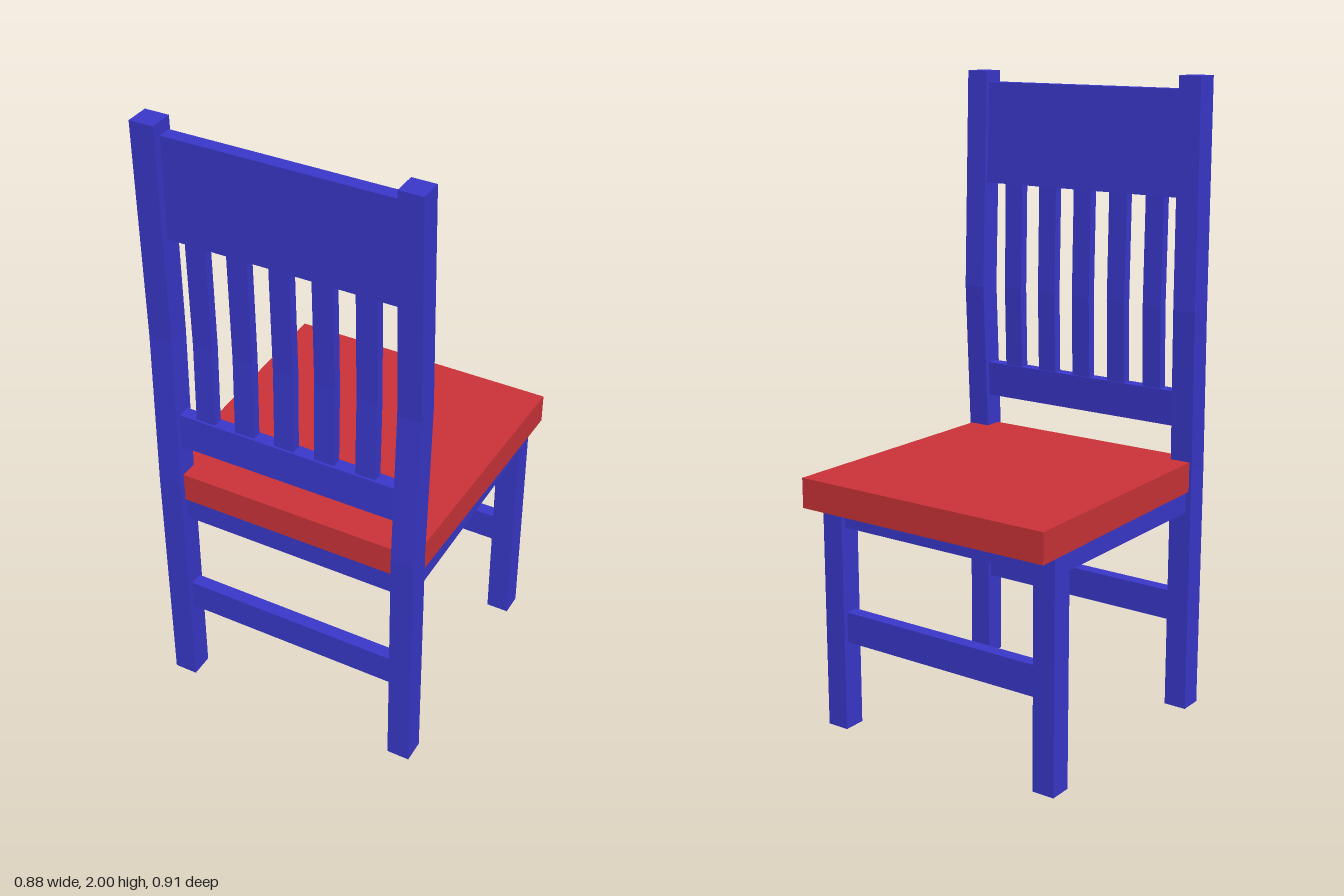
import * as THREE from 'three';

const blue = new THREE.MeshStandardMaterial({ color: 0x3a38cc, flatShading: true });
const red = new THREE.MeshStandardMaterial({ color: 0xcc3338, flatShading: true });

// Square bar through stacked rings [y, centre x, centre z], lowest first
function bar(name, width, depth, rings) {
  const n = rings.length - 1;
  const geometry = new THREE.BoxGeometry(width, 1, depth, 1, n, 1);
  const p = geometry.attributes.position;
  for (let i = 0; i < p.count; i++) {
    const [y, x, z] = rings[Math.round((p.getY(i) + 0.5) * n)];
    p.setXYZ(i, p.getX(i) + x, y, p.getZ(i) + z);
  }
  geometry.computeVertexNormals();
  const mesh = new THREE.Mesh(geometry, blue);
  mesh.name = name;
  return mesh;
}

export function createModel() {
  const chair = new THREE.Group();
  chair.name = 'chair';

  // Seat, tapering towards the backrest
  const seatGeometry = new THREE.BoxGeometry(2, 0.095, 0.88);
  seatGeometry.translate(0, 0.7775, -0.015);
  const p = seatGeometry.attributes.position;
  for (let i = 0; i < p.count; i++) {
    p.setX(i, p.getX(i) * (p.getZ(i) < 0 ? 0.44 : 0.42));
  }
  seatGeometry.computeVertexNormals();
  const seat = new THREE.Mesh(seatGeometry, red);
  seat.name = 'seat';
  chair.add(seat);

  // Back posts bend above the seat; one is slightly crooked
  chair.add(
    bar('backPostLeft', 0.073, 0.073, [
      [0, 0.391, 0.405], [0.8, 0.391, 0.405], [1.3, 0.391, 0.381], [1.995, 0.391, 0.403],
    ]),
    bar('backPostRight', 0.075, 0.075, [
      [0, -0.392, 0.407], [0.8, -0.392, 0.407], [1.3, -0.4, 0.385], [2, -0.383, 0.414],
    ]),
  );

  // Short legs and side aprons
  for (const [side, s] of [['Left', 1], ['Right', -1]]) {
    chair.add(
      bar('shortLeg' + side, 0.073, 0.073, [[0, s * 0.391, -0.343], [0.735, s * 0.391, -0.343]]),
      bar('sideApron' + side, 0.042, 0.7, [[0.66, s * 0.391, 0.03], [0.735, s * 0.391, 0.03]]),
    );
  }

  // Cross aprons and stretchers between each pair of legs
  for (const [end, z] of [['Back', 0.403], ['Front', -0.343]]) {
    chair.add(
      bar('apron' + end, 0.73, 0.042, [[0.66, 0, z], [0.735, 0, z]]),
      bar('stretcher' + end, 0.73, 0.042, [[0.287, 0, z], [0.385, 0, z]]),
    );
  }

  // Backrest rails, leaning with the posts
  chair.add(
    bar('lowerBackRail', 0.73, 0.042, [[0.93, 0, 0.4], [1.042, 0, 0.395]]),
    bar('upperBackRail', 0.73, 0.042, [[1.64, 0, 0.391], [1.96, 0, 0.401]]),
  );

  // Backrest slats
  for (let i = 0; i < 5; i++) {
    const x = -0.272 + i * 0.1315;
    chair.add(bar('backSlat' + (i + 1), 0.064, 0.03, [[1.03, x, 0.394], [1.3, x, 0.386], [1.65, x, 0.391]]));
  }
  return chair;
}
